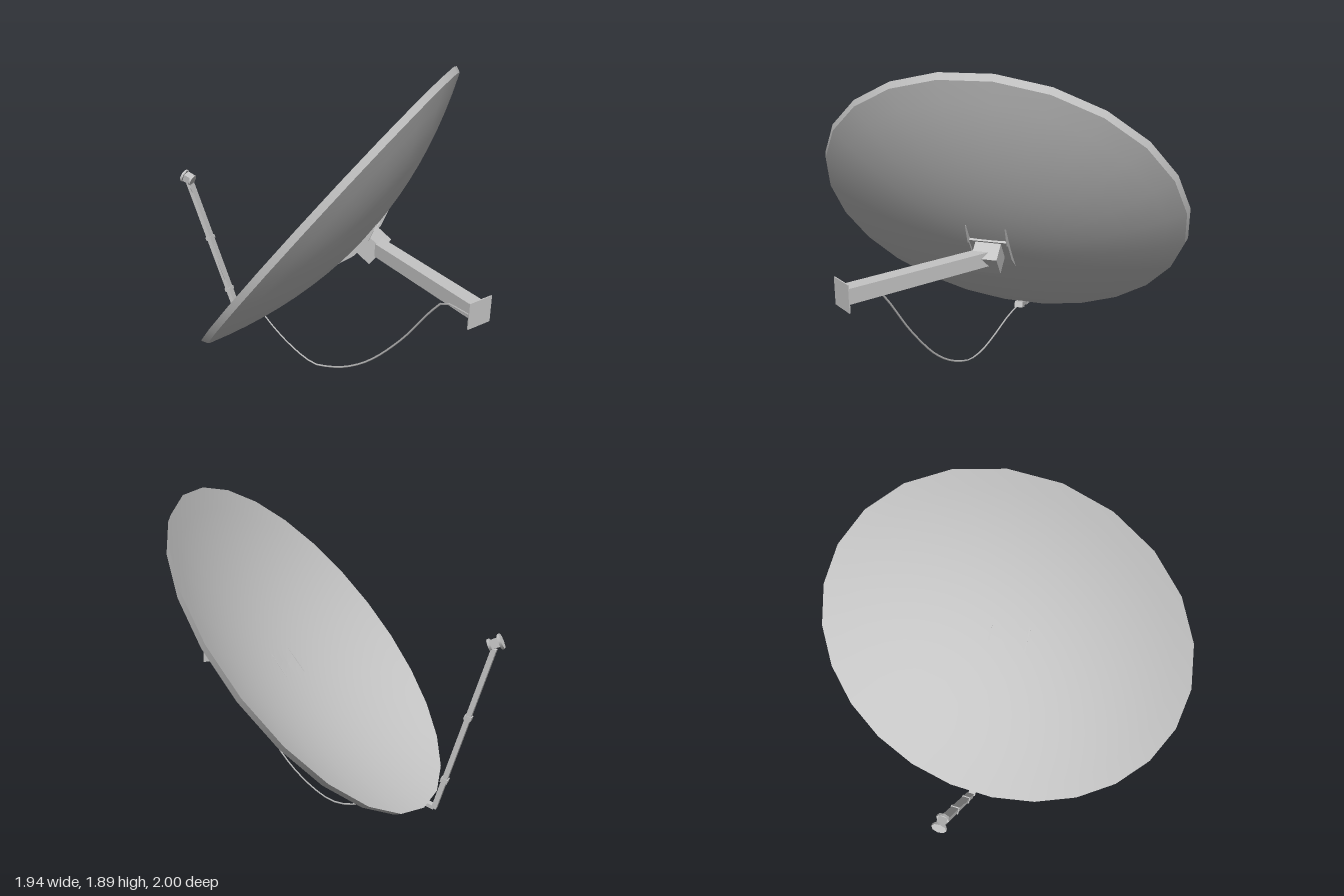
import * as THREE from 'three';

export function createModel() {
  const model = new THREE.Group();
  model.name = 'satelliteDish';
  const grey = new THREE.MeshStandardMaterial({ color: 0xc4c4c4 });
  grey.name = 'paintedMetalGrey';
  grey.side = THREE.DoubleSide;
  const V = (x, y, z) => new THREE.Vector3(x, y, z);

  // Dish frame: side, up along the face, and the direction the face points
  const az = THREE.MathUtils.degToRad(35), el = THREE.MathUtils.degToRad(38);
  const side = V(-Math.cos(az), 0, Math.sin(az));
  const normal = V(-Math.cos(el) * Math.sin(az), Math.sin(el), -Math.cos(el) * Math.cos(az));
  const up = normal.clone().cross(side);

  function add(parent, name, geometry, x = 0, y = 0, z = 0) {
    const mesh = new THREE.Mesh(geometry, grey);
    mesh.name = name;
    mesh.position.set(x, y, z);
    parent.add(mesh);
    return mesh;
  }

  // Box running from a to b, its width lying along the given axis
  function beam(parent, name, a, b, width, depth, axis = side) {
    const dir = b.clone().sub(a);
    const mesh = add(parent, name, new THREE.BoxGeometry(width, depth, dir.length()));
    const z = dir.normalize(), y = z.clone().cross(axis).normalize(), x = y.clone().cross(z);
    mesh.quaternion.setFromRotationMatrix(new THREE.Matrix4().makeBasis(x, y, z));
    mesh.position.copy(a).add(b).multiplyScalar(0.5);
    return mesh;
  }

  function tube(parent, name, points, radius, segments) {
    const curve = new THREE.CatmullRomCurve3(points);
    return add(parent, name, new THREE.TubeGeometry(curve, segments, radius, 4));
  }

  // Dish: shallow bowl with a flat rim band
  const dish = new THREE.Group();
  dish.name = 'dish';
  dish.quaternion.setFromRotationMatrix(new THREE.Matrix4().makeBasis(side, up, normal));
  dish.position.set(0, 1.03, -0.14);
  model.add(dish);

  const R = 1.088;
  function bowl(radius, edge, depth) {
    const points = [];
    for (let i = 0; i <= 10; i++) {
      const t = i / 10;
      points.push(new THREE.Vector2(radius * t, edge - depth * (1 - t * t)));
    }
    return points;
  }
  function lathe(name, points) {
    const geometry = new THREE.LatheGeometry(points, 24);
    geometry.rotateY(Math.PI / 24);
    geometry.rotateX(Math.PI / 2);
    const mesh = add(dish, name, geometry);
    return mesh;
  }
  lathe('dishBack', bowl(R - 0.015, -0.022, 0.25));
  lathe('dishRim', [new THREE.Vector2(R - 0.015, -0.022), new THREE.Vector2(R, 0.015)]);
  lathe('dishFace', bowl(R, 0.015, 0.255).reverse());

  // Mount behind the bowl: clamp box, back plate and two thin flanges
  add(dish, 'mountBox', new THREE.BoxGeometry(0.15, 0.14, 0.12), 0, 0, -0.335);
  add(dish, 'mountPlate', new THREE.BoxGeometry(0.23, 0.16, 0.015), 0, 0, -0.275);
  for (const s of [-1, 1]) {
    const shape = new THREE.Shape([
      new THREE.Vector2(-0.19, 0.235), new THREE.Vector2(-0.19, 0.262),
      new THREE.Vector2(-0.07, 0.295), new THREE.Vector2(0.07, 0.295),
      new THREE.Vector2(0.19, 0.262), new THREE.Vector2(0.19, 0.235),
    ]);
    const flange = new THREE.ExtrudeGeometry(shape, { depth: 0.008, bevelEnabled: false });
    // Shape x runs up the dish, shape y runs out of its back
    flange.applyMatrix4(new THREE.Matrix4().makeBasis(V(0, 1, 0), V(0, 0, -1), V(-1, 0, 0)));
    add(dish, 'mountFlange', flange, s * 0.115 + 0.004, 0, 0);
  }

  // Wall pole with its thin end plate
  const pole = new THREE.Group();
  pole.name = 'wallPole';
  model.add(pole);
  beam(pole, 'poleBar', V(0.153, 0.83, 0.06), V(0.153, 0.83, 0.992), 0.082, 0.084, V(1, 0, 0));
  add(pole, 'wallPlate', new THREE.BoxGeometry(0.148, 0.15, 0.006), 0.148, 0.83, 0.995);

  // Feed arm rising from the lower rim
  const arm = new THREE.Group();
  arm.name = 'feedArm';
  model.add(arm);
  const base = V(-0.4, 0.145, -0.712), tip = V(-0.56, 1.045, -0.952);
  beam(arm, 'armBar', base, tip, 0.045, 0.028);
  for (const t of [0.17, 0.57]) {
    const a = base.clone().lerp(tip, t), b = base.clone().lerp(tip, t + 0.025);
    beam(arm, 'armClip', a, b, 0.052, 0.04);
  }

  // Bracket under the rim
  beam(arm, 'rimBracket', V(-0.405, 0.145, -0.705), V(-0.29, 0.215, -0.55), 0.045, 0.02);
  beam(arm, 'bracketBlock', V(-0.33, 0.19, -0.6), V(-0.285, 0.215, -0.54), 0.055, 0.04);

  // Feed head looking back at the bowl
  const head = new THREE.Group();
  head.name = 'feedHead';
  head.position.set(-0.567, 1.073, -0.953);
  head.quaternion.setFromUnitVectors(V(0, 0, 1), V(0.53, -0.4, 0.75).normalize());
  arm.add(head);
  add(head, 'headBody', new THREE.BoxGeometry(0.05, 0.05, 0.06));
  for (const [z, r] of [[0.03, 0.036], [-0.028, 0.042]]) {
    const disc = new THREE.CylinderGeometry(r, r, 0.014, 8);
    disc.rotateX(Math.PI / 2);
    add(head, 'headDisc', disc, 0, 0, z);
  }

  // Cables: one along the arm, one slung from the pole to the bracket
  const offset = side.clone().multiplyScalar(0.018).addScaledVector(normal, -0.018);
  tube(arm, 'armCable', [0.08, 0.35, 0.7, 0.98].map((t, i) =>
    base.clone().lerp(tip, t).add(offset).addScaledVector(side, i % 2 ? 0.006 : -0.03)), 0.005, 12);
  tube(model, 'hangingCable', [
    V(0.1, 0.82, 0.97), V(0.095, 0.8, 0.79), V(0.08, 0.72, 0.715), V(0.03, 0.45, 0.53),
    V(-0.04, 0.21, 0.32), V(-0.1, 0.085, 0.15), V(-0.15, 0.02, 0), V(-0.18, 0.006, -0.07),
    V(-0.21, 0.02, -0.17), V(-0.25, 0.07, -0.3), V(-0.29, 0.15, -0.45), V(-0.305, 0.205, -0.56),
  ], 0.006, 28);

  return model;
}
